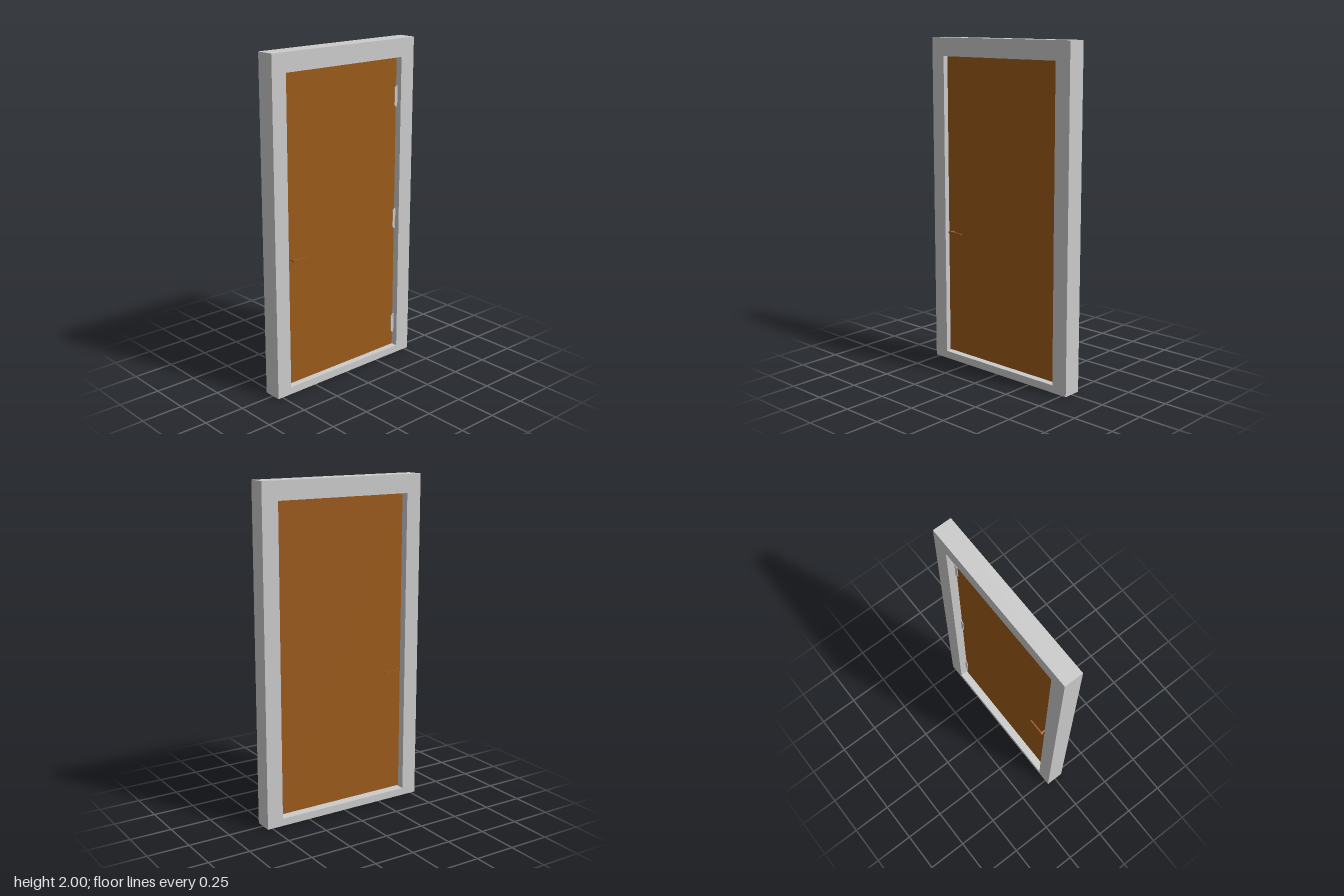
import * as THREE from 'three';

const grey = new THREE.MeshStandardMaterial({ color: 0xcccccc, flatShading: true });
const brown = new THREE.MeshStandardMaterial({ color: 0x9b5a1a, flatShading: true });

const DOOR_FRONT = 0.022, DOOR_BACK = -0.014;
const DOOR_MID = (DOOR_FRONT + DOOR_BACK) / 2;

function add(parent, name, geometry, material, x = 0, y = 0, z = 0) {
  const mesh = new THREE.Mesh(geometry, material);
  mesh.name = name;
  mesh.position.set(x, y, z);
  parent.add(mesh);
  return mesh;
}

function polygon(points) {
  return new THREE.Shape(points.map(([x, y]) => new THREE.Vector2(x, y)));
}

function extrude(shape, depth) {
  return new THREE.ExtrudeGeometry(shape, { depth, bevelEnabled: false });
}

// Lever handle: spindle out of the door, then a tapering grip
function makeHandle(name) {
  const handle = new THREE.Group();
  handle.name = name;
  const spindle = new THREE.CylinderGeometry(0.006, 0.006, 0.034, 10).rotateX(Math.PI / 2);
  add(handle, 'spindle', spindle, brown, -0.395, 0, 0.033);
  const grip = polygon([
    [-0.406, -0.005], [-0.398, -0.007], [-0.335, -0.006], [-0.295, -0.004],
    [-0.295, 0.002], [-0.335, 0.005], [-0.398, 0.007], [-0.406, 0.005],
  ]);
  add(handle, 'lever', extrude(grip, 0.009), brown, 0, 0, 0.0445);
  handle.position.set(0, 0.82, DOOR_MID);
  return handle;
}

// Hinge: knuckle in the gap, with a chamfered leaf on each door face
function makeHinge(y) {
  const hinge = new THREE.Group();
  hinge.name = 'hinge';
  const knuckle = new THREE.CylinderGeometry(0.0055, 0.0055, 0.125, 12);
  for (const z of [DOOR_FRONT, DOOR_BACK]) add(hinge, 'knuckle', knuckle, grey, 0.4235, 0, z);
  const leaf = extrude(polygon([
    [0.407, -0.05], [0.416, -0.062], [0.428, -0.062],
    [0.428, 0.062], [0.416, 0.062], [0.407, 0.05],
  ]), 0.004);
  add(hinge, 'frontLeaf', leaf, grey, 0, 0, DOOR_FRONT);
  add(hinge, 'backLeaf', leaf, grey, 0, 0, DOOR_BACK - 0.004);
  hinge.position.y = y;
  return hinge;
}

export function createModel() {
  const model = new THREE.Group();
  model.name = 'door';

  // Surround with sill, in one piece
  const surround = polygon([[-0.53, 0], [0.53, 0], [0.53, 2], [-0.53, 2]]);
  surround.holes.push(polygon([[-0.435, 0.045], [-0.435, 1.89], [0.43, 1.89], [0.43, 0.045]]));
  add(model, 'frame', extrude(surround, 0.113), grey, 0, 0, -0.06);

  // Door leaf, with a narrow gap at the hinge side and the sill
  const panel = new THREE.BoxGeometry(0.854, 1.838, DOOR_FRONT - DOOR_BACK);
  add(model, 'panel', panel, brown, -0.007, 0.97, DOOR_MID);

  // A handle on each face
  const front = makeHandle('frontHandle');
  const back = makeHandle('backHandle');
  back.scale.z = -1;
  model.add(front, back);

  for (const y of [0.195, 0.895, 1.655]) model.add(makeHinge(y));

  return model;
}
